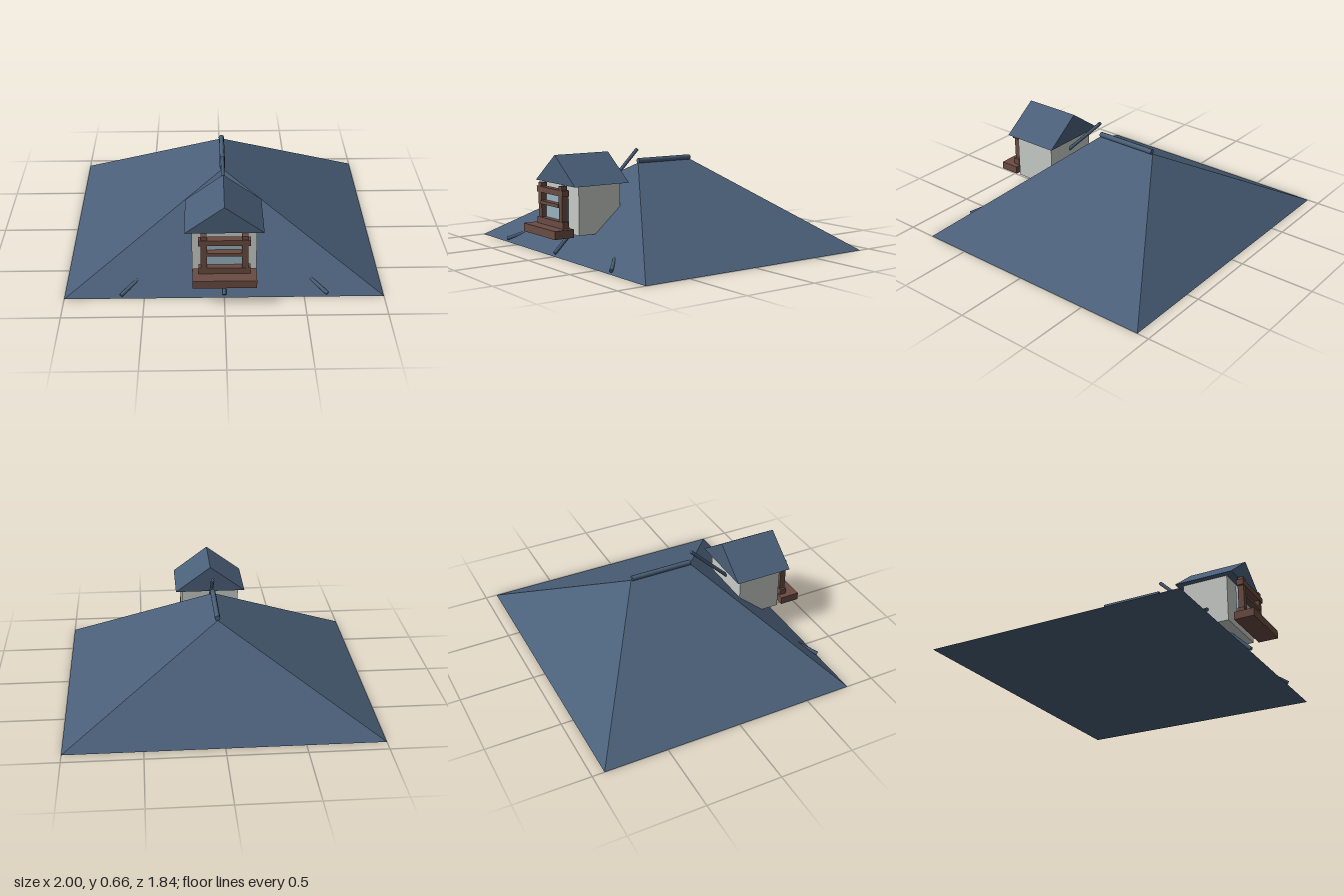
import * as THREE from 'three';

function material(name, color) {
  const m = new THREE.MeshStandardMaterial({ color });
  m.name = name;
  return m;
}

export function createModel() {
  const model = new THREE.Group();
  model.name = 'hippedRoofWithDormer';
  const slate = material('slateBlue', 0x4a5f78);
  const plaster = material('palePlaster', 0xc8ccc8);
  const timber = material('brownTimber', 0x6a4c42);
  const glass = material('paleGlass', 0x9ab2c0);

  function add(name, geometry, mat, parent = model) {
    const mesh = new THREE.Mesh(geometry, mat);
    mesh.name = name;
    parent.add(mesh);
    return mesh;
  }

  // Box given by its limits on each axis
  function box(name, [x0, x1], [y0, y1], [z0, z1], mat, parent) {
    const mesh = add(name, new THREE.BoxGeometry(x1 - x0, y1 - y0, z1 - z0), mat, parent);
    mesh.position.set((x0 + x1) / 2, (y0 + y1) / 2, (z0 + z1) / 2);
    return mesh;
  }

  // Round bar between two points
  function bar(name, from, to, radius) {
    const a = new THREE.Vector3(...from), b = new THREE.Vector3(...to);
    const dir = b.clone().sub(a);
    const mesh = add(name, new THREE.CylinderGeometry(radius, radius, dir.length(), 8), slate);
    mesh.position.copy(a).add(b).multiplyScalar(0.5);
    mesh.quaternion.setFromUnitVectors(new THREE.Vector3(0, 1, 0), dir.normalize());
    return mesh;
  }

  // Main hipped roof: four corners and the two ridge ends
  const FL = [-1, 0, 0.81], FR = [1, 0, 0.81], BR = [1, 0, -0.92], BL = [-1, 0, -0.92];
  const RF = [0, 0.56, 0.16], RB = [0, 0.56, -0.275];
  const faces = [
    FL, FR, RF,
    BR, BL, RB,
    FR, BR, RB, FR, RB, RF,
    BL, FL, RF, BL, RF, RB,
    FL, BL, BR, FL, BR, FR,
  ];
  const hip = new THREE.BufferGeometry();
  hip.setAttribute('position', new THREE.Float32BufferAttribute(faces.flat(), 3));
  hip.computeVertexNormals();
  add('mainRoof', hip, slate);

  // Ridge cap and front ridge bars
  bar('ridgeCap', [0, 0.573, 0.16], [0, 0.573, -0.27], 0.018);
  bar('frontRidgeBar', [0, 0.022, 0.81], [0, 0.652, 0.168], 0.012);
  for (const s of [-1, 1]) {
    bar('hipBar', [s * 0.645, 0.022, 0.806], [s * 0.5, 0.095, 0.67], 0.012);
  }

  // Dormer walls and gabled roof
  const dormer = new THREE.Group();
  dormer.name = 'dormer';
  model.add(dormer);
  box('dormerWalls', [-0.2, 0.2], [0.157, 0.475], [0.44, 0.748], plaster, dormer);
  const gable = new THREE.Shape([
    new THREE.Vector2(-0.243, 0.47),
    new THREE.Vector2(0.243, 0.47),
    new THREE.Vector2(0, 0.65),
  ]);
  const gableRoof = new THREE.ExtrudeGeometry(gable, { depth: 0.4, bevelEnabled: false });
  add('dormerRoof', gableRoof, slate, dormer).position.z = 0.4;

  // Window: pane, posts, rails and sill
  const win = new THREE.Group();
  win.name = 'window';
  dormer.add(win);
  box('windowPane', [-0.12, 0.12], [0.225, 0.425], [0.772, 0.802], glass, win);
  for (const s of [-1, 1]) {
    const x = [s * 0.126 - 0.019, s * 0.126 + 0.019];
    box('windowPost', x, [0.2, 0.468], [0.797, 0.837], timber, win);
  }
  box('topRail', [-0.16, 0.16], [0.405, 0.443], [0.795, 0.841], timber, win);
  box('middleRail', [-0.11, 0.11], [0.331, 0.353], [0.8, 0.843], timber, win);
  box('bottomRail', [-0.16, 0.16], [0.2, 0.245], [0.795, 0.841], timber, win);
  box('windowSill', [-0.197, 0.197], [0.15, 0.203], [0.785, 0.92], timber, win);

  return model;
}
